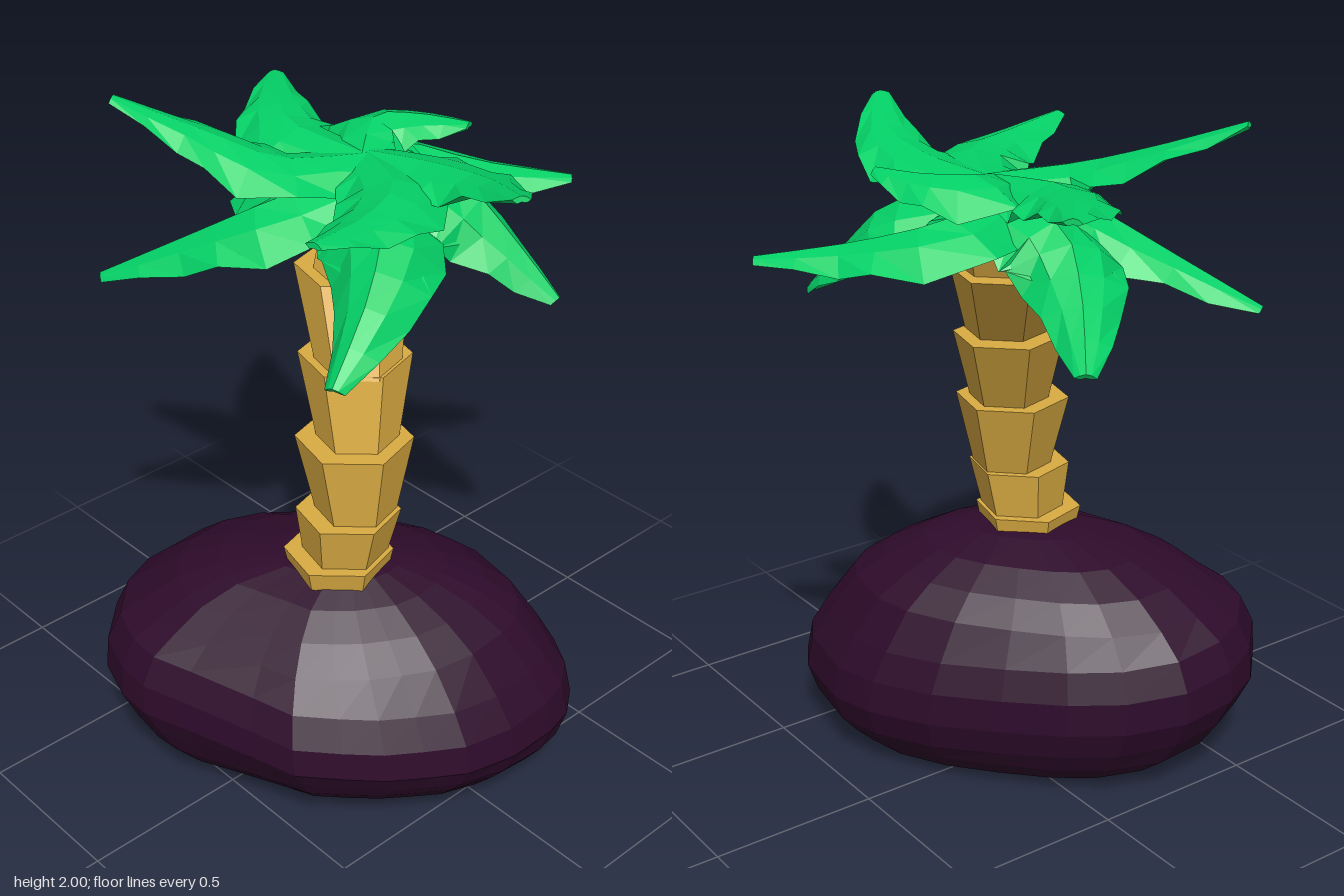
import * as THREE from 'three';

const V = (a) => new THREE.Vector3(...a);

function material(color) {
  return new THREE.MeshStandardMaterial({ color, flatShading: true, side: THREE.DoubleSide });
}

// Joins rings of equal length into a skin and closes both ends.
function loft(rings) {
  const n = rings[0].length, pos = [], index = [];
  rings.forEach((r) => r.forEach((p) => pos.push(p.x, p.y, p.z)));
  for (let i = 0; i < rings.length - 1; i++) {
    for (let j = 0; j < n; j++) {
      const a = i * n + j, b = i * n + (j + 1) % n;
      index.push(a, a + n, b, b, a + n, b + n);
    }
  }
  const last = rings.length - 1;
  [0, last].forEach((i) => {
    const c = pos.length / 3;
    const mid = rings[i].reduce((s, p) => s.add(p), new THREE.Vector3()).divideScalar(n);
    pos.push(mid.x, mid.y, mid.z);
    for (let j = 0; j < n; j++) {
      const a = i * n + j, b = i * n + (j + 1) % n;
      index.push(...(i === 0 ? [c, a, b] : [c, b, a]));
    }
  });
  const g = new THREE.BufferGeometry();
  g.setAttribute('position', new THREE.Float32BufferAttribute(pos, 3));
  g.setIndex(index);
  g.computeVertexNormals();
  return g;
}

// Boulder: a plan outline scaled ring by ring from the base to the top.
function makeBoulder() {
  const plan = [
    [0.25, -0.46], [0.47, -0.42], [0.57, -0.36], [0.64, -0.27], [0.67, -0.17], [0.685, 0],
    [0.66, 0.16], [0.6, 0.27], [0.54, 0.37], [0.46, 0.46], [0.36, 0.56], [0.22, 0.6],
    [0, 0.67], [-0.13, 0.715], [-0.24, 0.71], [-0.38, 0.66], [-0.51, 0.53], [-0.57, 0.4],
    [-0.58, 0.22], [-0.51, 0.05], [-0.4, -0.08], [-0.25, -0.21], [-0.08, -0.34], [0.1, -0.43],
  ];
  // height, scale, centre x shift
  const levels = [
    [0.03, 0.3, 0.03], [0.015, 0.56, 0.03], [0.04, 0.78, 0.03], [0.1, 0.88, 0.02], [0.17, 0.95, 0.01],
    [0.26, 1, 0], [0.36, 0.98, -0.01], [0.45, 0.91, -0.02], [0.54, 0.79, -0.03],
    [0.61, 0.65, -0.03], [0.665, 0.48, -0.02], [0.705, 0.27, 0.01], [0.72, 0.12, 0.03],
  ];
  const rings = levels.map(([y, s, dx]) => plan.map(([x, z]) => {
    const px = (x - 0.06) * s, pz = (z - 0.13) * s;
    const tilt = (pz * 0.06 - px * 0.025) * (y < 0.15 ? 0.5 : y > 0.5 ? 0 : 1);
    // hollow under the front left flank
    const low = Math.max(0, 1 - y / 0.3), flank = Math.max(0, px + pz - 0.1);
    const dent = 1 - 0.15 * low * flank;
    return V([0.06 + dx + px * dent, Math.max(0, y + tilt + 0.17 * low * flank), 0.13 + pz * dent]);
  }));
  return loft(rings);
}

// Trunk section: six-sided, flaring upward.
function makeSection(bottom, top) {
  const ring = ([x, y, z, r]) => Array.from({ length: 6 }, (_, k) => {
    const a = (74 + 60 * k) * Math.PI / 180;
    return V([x + r * Math.cos(a), y, z + r * Math.sin(a)]);
  });
  return loft([ring(bottom), ring(top)]);
}

// Leaf: a thin folded blade swept along a curved spine.
function makeLeaf(points, halfWidth, fold) {
  const curve = new THREE.CatmullRomCurve3(points.map(V));
  const profile = [0.55, 0.88, 1, 0.98, 0.82, 0.61, 0.42, 0.17];
  const up = new THREE.Vector3(0, 1, 0);
  const rings = profile.map((w, i) => {
    const t = i / (profile.length - 1);
    const c = curve.getPoint(t), dir = curve.getTangent(t);
    const side = new THREE.Vector3().crossVectors(dir, up).normalize();
    const nor = new THREE.Vector3().crossVectors(side, dir).normalize();
    const at = (u, h) => c.clone().addScaledVector(side, u * w * halfWidth).addScaledVector(nor, h);
    const drop = fold * w, thick = 0.012 + 0.022 * w;
    const ripple = 0.015 * w * (i % 2 ? 1 : -1);
    return [at(1, -drop + ripple), at(0.5, -drop * 0.3), at(0, 0), at(-0.5, -drop * 0.3),
      at(-1, -drop - ripple), at(-0.5, -drop * 0.3 - thick), at(0, -thick), at(0.5, -drop * 0.3 - thick)];
  });
  return loft(rings);
}

export function createModel() {
  const root = new THREE.Group();
  const add = (parent, name, geometry, mat) => {
    const m = new THREE.Mesh(geometry, mat);
    m.name = name;
    parent.add(m);
  };
  add(root, 'boulder', makeBoulder(), material(0x2e0b2b));

  // Leaning trunk: bottom and top of each section as x, y, z, radius
  const trunk = new THREE.Group();
  trunk.name = 'trunk';
  const bark = material(0xdaab42);
  [
    [[0.1, 0.69, 0.155, 0.145], [0.1, 0.75, 0.155, 0.158]],
    [[0.11, 0.73, 0.14, 0.12], [0.12, 0.89, 0.135, 0.15]],
    [[0.13, 0.88, 0.115, 0.115], [0.107, 1.11, 0.1, 0.167]],
    [[0.11, 1.1, 0.09, 0.115], [0.045, 1.33, 0.04, 0.16]],
    [[0.08, 1.32, 0.06, 0.12], [-0.04, 1.55, -0.025, 0.16]],
    [[0.0, 1.53, -0.01, 0.125], [-0.08, 1.78, -0.12, 0.1]],
  ].forEach(([a, b], i) => add(trunk, `trunkSection${i + 1}`, makeSection(a, b), bark));
  root.add(trunk);

  // Crown: drooping lower leaves and raised upper leaves in a swirl; spine, fold depth
  const crown = new THREE.Group();
  crown.name = 'crown';
  const green = material(0x04d066);
  const lower = [
    [[[-0.1, 1.79, -0.12], [-0.18, 1.77, -0.34], [-0.03, 1.71, -0.51], [0.145, 1.665, -0.71]], 0.09],
    [[[-0.06, 1.79, -0.14], [0.12, 1.75, -0.3], [0.25, 1.62, -0.36], [0.385, 1.47, -0.41]], 0.13],
    [[[-0.06, 1.79, -0.1], [0.13, 1.76, 0.02], [0.25, 1.64, 0.18], [0.33, 1.475, 0.38]], 0.14],
    [[[-0.09, 1.79, -0.1], [-0.17, 1.75, 0.12], [-0.35, 1.63, 0.28], [-0.56, 1.49, 0.45]], 0.1],
    [[[-0.1, 1.79, -0.12], [-0.33, 1.74, -0.06], [-0.5, 1.62, -0.13], [-0.675, 1.48, -0.25]], 0.1],
  ];
  const upper = [
    [[[-0.08, 1.84, -0.1], [-0.18, 1.88, -0.25], [-0.1, 1.88, -0.34], [0.03, 1.88, -0.4]], 0.08],
    [[[-0.1, 1.84, -0.12], [0.12, 1.86, -0.17], [0.33, 1.89, -0.16], [0.55, 1.95, -0.05]], 0.06],
    [[[-0.08, 1.84, -0.12], [0.15, 1.86, 0.0], [0.24, 1.86, 0.19], [0.29, 1.88, 0.4]], 0.07],
    [[[-0.07, 1.84, -0.12], [-0.18, 1.86, 0.11], [-0.35, 1.92, 0.23], [-0.54, 2.0, 0.38]], 0.06],
    [[[-0.07, 1.84, -0.11], [-0.33, 1.86, -0.07], [-0.49, 1.87, -0.15], [-0.64, 1.87, -0.27]], 0.07],
  ];
  lower.forEach(([p, f], i) => add(crown, `lowerLeaf${i + 1}`, makeLeaf(p, 0.17, f), green));
  upper.forEach(([p, f], i) => add(crown, `upperLeaf${i + 1}`, makeLeaf(p, 0.15, f), green));
  root.add(crown);
  return root;
}
